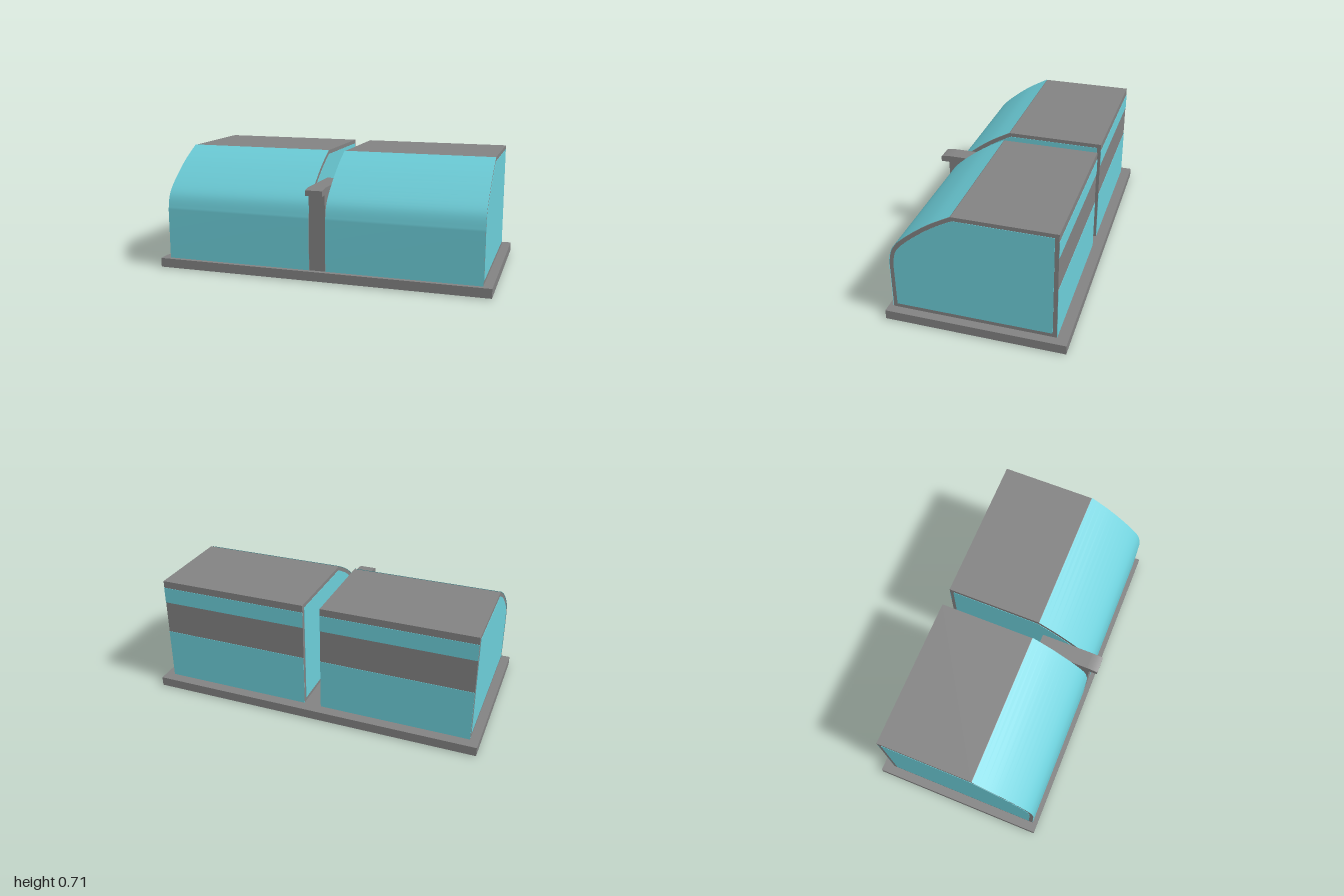
import * as THREE from 'three';

const grey = new THREE.MeshStandardMaterial({ color: 0x828282 });
grey.name = 'grey metal';
const teal = new THREE.MeshStandardMaterial({ color: 0x6ccdd8 });
teal.name = 'teal glass';

const BASE_TOP = 0.06, TOP = 0.71, BACK = -0.46, FRONT = 0.475;
const CASE_X = 0.5, CASE_W = 0.9;
const SKIN = 0.002;

// Curved front of a case in (z, y), from the upright part up to the roof
const curve = new THREE.SplineCurve([
  [FRONT, 0.36], [0.45, 0.452], [0.372, 0.535], [0.24, 0.635], [0.108, TOP],
].map(([z, y]) => new THREE.Vector2(z, y)));
const STEPS = 20;

// Side outline of a case, drawn inwards by the given inset
function caseShape(inset) {
  const pts = [
    new THREE.Vector2(BACK + inset, BASE_TOP + inset),
    new THREE.Vector2(FRONT - inset, BASE_TOP + inset),
  ];
  for (let i = 0; i <= STEPS; i++) {
    const p = curve.getPoint(i / STEPS), t = curve.getTangent(i / STEPS);
    p.x = Math.min(p.x - t.y * inset, FRONT - inset);
    p.y = Math.min(p.y + t.x * inset, TOP - inset);
    pts.push(p);
  }
  pts.push(new THREE.Vector2(BACK + inset, TOP - inset));
  return new THREE.Shape(pts);
}

// Extrudes a (z, y) outline along x, centred on x = 0
function extrudeX(shape, width) {
  const g = new THREE.ExtrudeGeometry(shape, { depth: width, bevelEnabled: false });
  g.translate(0, 0, -width / 2);
  g.rotateY(-Math.PI / 2);
  return g;
}

function add(parent, name, geometry, material, x = 0, y = 0, z = 0) {
  const m = new THREE.Mesh(geometry, material);
  m.name = name;
  m.position.set(x, y, z);
  parent.add(m);
  return m;
}

// Box given by its limits
function box(parent, name, material, [x0, x1], [y0, y1], [z0, z1]) {
  return add(parent, name, new THREE.BoxGeometry(x1 - x0, y1 - y0, z1 - z0), material,
    (x0 + x1) / 2, (y0 + y1) / 2, (z0 + z1) / 2);
}

// Glass sheet bent over the front of a case
function frontGlassGeometry() {
  const g = new THREE.PlaneGeometry(CASE_W, 1, 1, STEPS + 1);
  const pos = g.attributes.position;
  for (let i = 0; i < pos.count; i++) {
    const row = STEPS + 1 - Math.floor(i / 2);
    const p = row === 0 ? new THREE.Vector2(FRONT, BASE_TOP) : curve.getPoint((row - 1) / STEPS);
    pos.setY(i, p.y + (row ? SKIN : 0));
    pos.setZ(i, p.x + SKIN);
  }
  g.computeVertexNormals();
  return g;
}

function makeCase() {
  const g = new THREE.Group();
  add(g, 'caseFrame', extrudeX(caseShape(0), CASE_W - 2 * SKIN), grey);
  add(g, 'frontGlass', frontGlassGeometry(), teal).material.side = THREE.DoubleSide;

  // Glass panels on both ends
  const panel = extrudeX(caseShape(0.023), 0.004);
  for (const s of [-1, 1]) add(g, 'endGlass', panel, teal, s * (CASE_W / 2 - 0.002));

  // Two glass bands across the back
  const half = CASE_W / 2 - SKIN;
  for (const band of [[BASE_TOP, 0.37], [0.57, 0.667]])
    box(g, 'backGlass', teal, [-half, half], band, [BACK - SKIN, BACK + SKIN]);

  // Foot plate under the base
  box(g, 'footPlate', grey, [-CASE_W / 2, CASE_W / 2], [0, 0.006], [BACK, FRONT]);
  return g;
}

export function createModel() {
  const model = new THREE.Group();
  model.name = 'displayCounter';

  box(model, 'base', grey, [-1, 1], [0.005, BASE_TOP], [-0.525, 0.505]);

  for (const s of [-1, 1]) {
    const c = makeCase();
    c.name = s > 0 ? 'leftCase' : 'rightCase';
    c.position.x = s * CASE_X;
    model.add(c);
  }

  // Post between the cases, carrying a small ledge with a rounded top edge
  box(model, 'post', grey, [-0.048, 0.048], [BASE_TOP, 0.51], [0.375, FRONT]);
  const ledge = new THREE.Shape();
  ledge.moveTo(0.14, 0.507);
  ledge.lineTo(0.525, 0.507);
  ledge.lineTo(0.525, 0.538);
  ledge.quadraticCurveTo(0.5, 0.547, 0.46, 0.548);
  ledge.lineTo(0.14, 0.548);
  add(model, 'ledge', extrudeX(ledge, 0.1), grey);

  return model;
}
